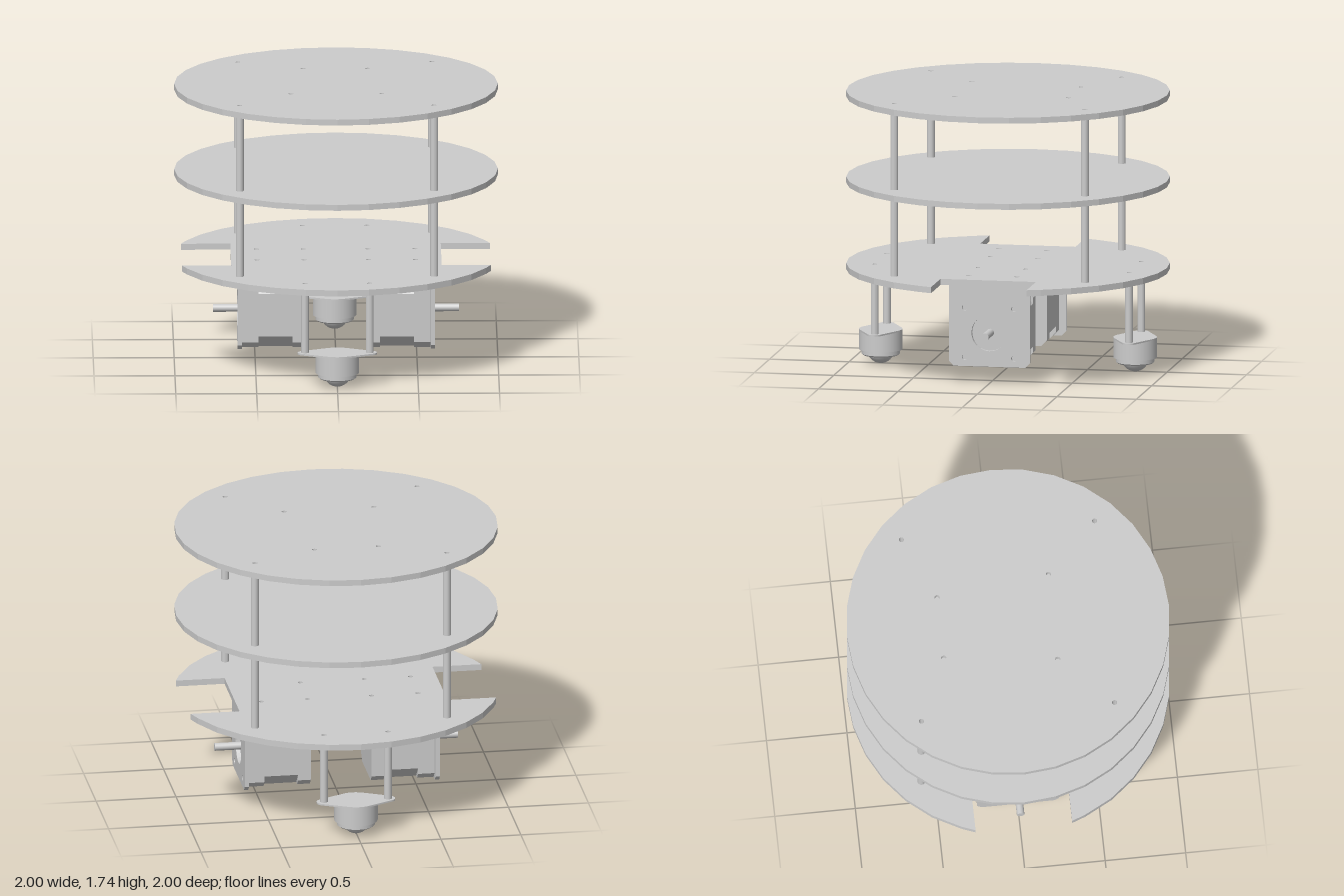
import * as THREE from 'three';

const mat = new THREE.MeshStandardMaterial({ color: 0xcccccc });

function mesh(name, geometry, x = 0, y = 0, z = 0) {
  const m = new THREE.Mesh(geometry, mat);
  m.name = name;
  m.position.set(x, y, z);
  return m;
}

function group(name, ...children) {
  const g = new THREE.Group();
  g.name = name;
  g.add(...children);
  return g;
}

// Round hole or outline
const disc = (x, y, r) => new THREE.Shape().absarc(x, y, r, 0, Math.PI * 2);

function extrude(shape, depth, curveSegments = 8) {
  return new THREE.ExtrudeGeometry(shape, { depth, bevelEnabled: false, curveSegments });
}
// Shape drawn in (x, -z), thickened upwards
const slab = (shape, h, seg) => extrude(shape, h, seg).rotateX(-Math.PI / 2);
// Shape drawn in (-z, y), thickened along +x
const sideways = (shape, d, seg) => extrude(shape, d, seg).rotateY(Math.PI / 2);

// Square outline with its corners cut off
function cutSquare(half, c) {
  const k = half - c;
  return new THREE.Shape([[half, -k], [half, k], [k, half], [-k, half],
    [-half, k], [-half, -k], [-k, -half], [k, -half]].map(p => new THREE.Vector2(...p)));
}

// The four sign combinations of a point
const quad = (x, z) => [[x, z], [-x, z], [x, -z], [-x, -z]];

const postSpots = quad(0.6, 0.6);
const sensorSpots = [[0.2, -0.42], [-0.2, -0.42], [0.28, 0.28], [-0.28, 0.28]];
const bracketSpots = [...quad(0.2, 0.15), ...quad(0.49, 0.15)];
const casterSpots = quad(0.2, 0.8);

// 32-sided deck, optionally notched on both sides for the wheels
function deck(name, y, h, spots, notched) {
  const pts = [];
  const notch = s => [[0.955, -0.3], [0.65, -0.3], [0.65, 0.3], [0.955, 0.3]]
    .forEach(([x, v]) => pts.push(new THREE.Vector2(s * x, s * v)));
  for (let i = 0; i < 32; i++) {
    const a = (i / 32) * Math.PI * 2;
    if (notched && i % 16 === 0) notch(i === 0 ? 1 : -1);
    if (notched && Math.abs(Math.sin(a)) < 0.3) continue;
    pts.push(new THREE.Vector2(Math.cos(a), Math.sin(a)));
  }
  const shape = new THREE.Shape(pts);
  shape.holes = spots.map(([x, z]) => disc(x, -z, 0.016));
  return mesh(name, slab(shape, h, 6), 0, y, 0);
}

// Hollow spacer post
function standoff(x, z, y0, y1) {
  const shape = disc(0, 0, 0.024);
  shape.holes.push(disc(0, 0, 0.016));
  return mesh('standoff', slab(shape, y1 - y0, 10), x, y0, z);
}

// L-shaped motor bracket with slotted flange
function bracket() {
  const face = new THREE.Shape();
  [[-0.255, 0.615], [-0.255, 0.135], [-0.225, 0.105], [0.225, 0.105], [0.255, 0.135], [0.255, 0.615]]
    .forEach(([u, v], i) => (i ? face.lineTo(u, v) : face.moveTo(u, v)));
  face.holes = [disc(0, 0.315, 0.113), ...quad(0.155, 0.155).map(([u, v]) => disc(u, 0.315 + v, 0.018))];

  const flange = new THREE.Shape();
  [[0.585, -0.255], [0.585, 0.255], [0.135, 0.255], [0.105, 0.225], [0.105, -0.225], [0.135, -0.255]]
    .forEach(([u, v], i) => (i ? flange.lineTo(u, v) : flange.moveTo(u, v)));
  for (const v of [-0.15, 0.15]) {
    const slot = new THREE.Path();
    slot.absarc(0.5, v, 0.018, -Math.PI / 2, Math.PI / 2);
    slot.absarc(0.19, v, 0.018, Math.PI / 2, Math.PI * 1.5);
    flange.holes.push(slot);
  }
  return group('motorBracket',
    mesh('bracketFace', sideways(face, 0.027, 12), 0.583),
    mesh('bracketFlange', slab(flange, 0.03), 0, 0.585, 0));
}

// Stepper motor: end caps, deeper-cut core and shaft
function motor() {
  const part = (name, x0, x1, cut) => mesh(name, sideways(cutSquare(0.21, cut), x1 - x0), x0, 0.315, 0);
  const shaft = new THREE.CylinderGeometry(0.024, 0.024, 0.18, 20).rotateZ(Math.PI / 2);
  return group('motor',
    part('rearCap', 0.19, 0.27, 0.038),
    part('motorCore', 0.27, 0.48, 0.075),
    part('frontCap', 0.48, 0.583, 0.038),
    mesh('shaft', shaft, 0.67, 0.315, 0));
}

// Ball caster hung from two standoffs
function caster(z) {
  const t = Math.acos(0.45);
  const plate = new THREE.Shape();
  plate.absarc(0, 0, 0.135, t, Math.PI - t);
  plate.absarc(-0.2, 0, 0.045, Math.PI - t, Math.PI + t);
  plate.absarc(0, 0, 0.135, Math.PI + t, Math.PI * 2 - t);
  plate.absarc(0.2, 0, 0.045, -t, t);
  plate.holes = [disc(0.2, 0, 0.016), disc(-0.2, 0, 0.016)];
  const tube = (r0, r1, y0, y1) => new THREE.CylinderGeometry(r1, r0, y1 - y0, 32).translate(0, (y0 + y1) / 2, 0);
  const g = group('ballCaster',
    mesh('casterPlate', slab(plate, 0.01, 10), 0, 0.205, 0),
    mesh('casterHousing', tube(0.135, 0.135, 0.088, 0.205)),
    mesh('casterCollar', tube(0.118, 0.118, 0.06, 0.088)),
    mesh('collarRim', tube(0.108, 0.118, 0.052, 0.06)),
    mesh('ball', new THREE.SphereGeometry(0.085, 24, 16), 0, 0.085, 0),
    standoff(0.2, 0, 0.215, 0.615),
    standoff(-0.2, 0, 0.215, 0.615));
  g.position.z = z;
  return g;
}

export function createModel() {
  const model = group('robotPlatform',
    deck('lowerDeck', 0.615, 0.038, [...postSpots, ...bracketSpots, ...casterSpots], true),
    deck('middleDeck', 1.158, 0.037, postSpots, false),
    deck('upperDeck', 1.698, 0.037, [...postSpots, ...sensorSpots], false),
    caster(0.8), caster(-0.8));

  for (const [x, z] of postSpots) {
    model.add(standoff(x, z, 0.653, 1.158), standoff(x, z, 1.195, 1.698));
  }

  // Drive units, one per side
  for (const side of ['left', 'right']) {
    const drive = group(side + 'Drive', bracket(), motor());
    if (side === 'right') drive.rotation.y = Math.PI;
    model.add(drive);
  }
  return model;
}
